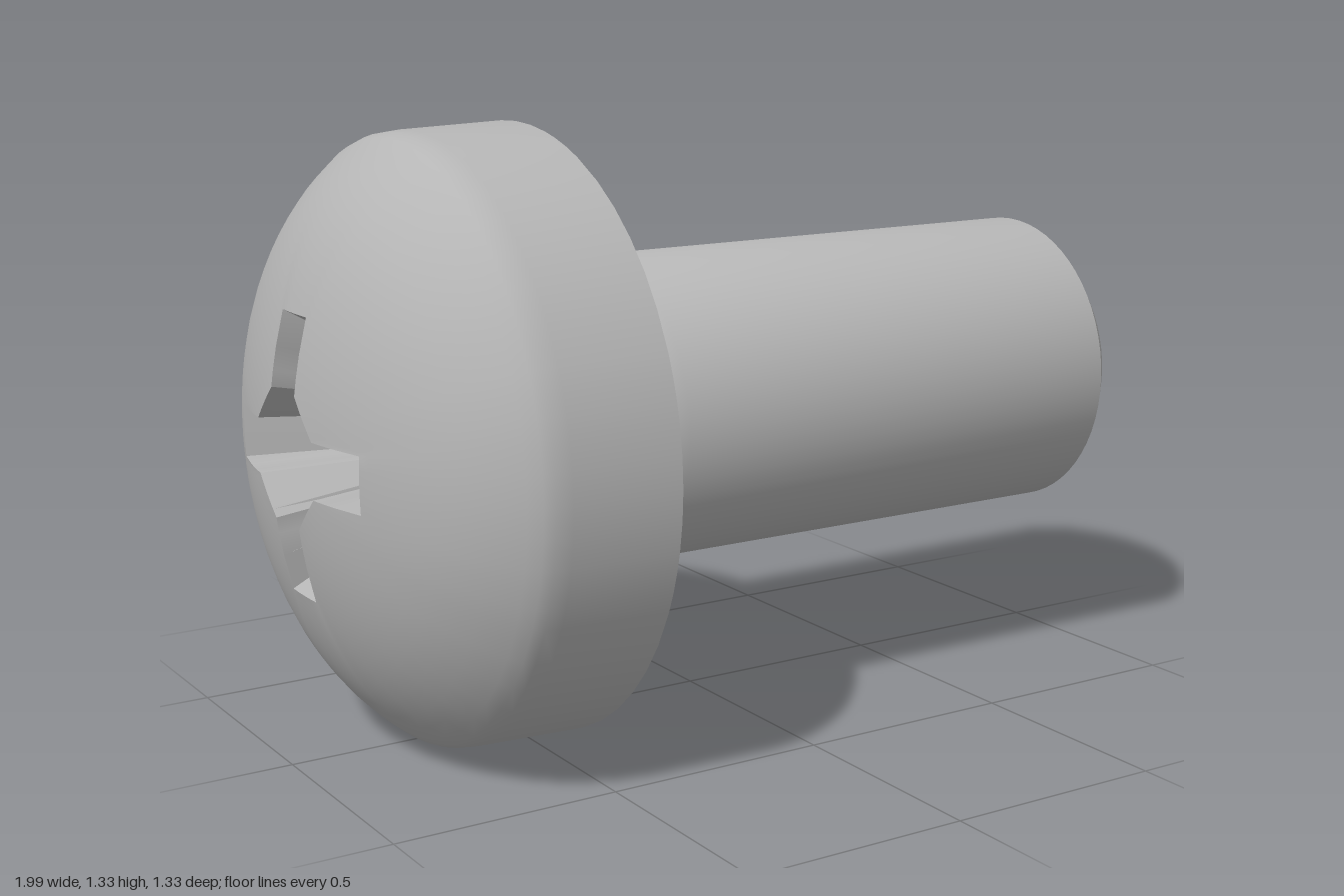
import * as THREE from 'three';
import { toCreasedNormals } from 'three/addons/utils/BufferGeometryUtils.js';

const AXIS_Y = 0.667;
const HEAD_R = 0.667;

// Angles around the axis (degrees, one quadrant repeated), including every corner of the cross
const QUADRANT = [-11.31, -5.65, 0, 5.65, 11.31, 15, 19, 23.2, 31, 38, 45, 52, 59, 66.8, 71, 75];
const ANGLES = [0, 90, 180, 270].flatMap(q => QUADRANT.map(a => THREE.MathUtils.degToRad(a + q)));

// Distance from the axis to the cross outline, for arms of a given length, half width and centre flare
function crossRadius(angle, length, half, flare) {
  const c = Math.abs(Math.cos(angle)), s = Math.abs(Math.sin(angle));
  const along = Math.max(c, s), across = Math.min(c, s);
  const arm = Math.min(length / along, across > 1e-6 ? half / across : Infinity);
  return Math.max(arm, flare / (along + across));
}

const opening = a => crossRadius(a, 0.3, 0.06, 0.2);
const dome = r => -1 + 0.44 * r * r + 1.1 * r ** 6;

// Skin a list of rings; each ring maps an angle to [radius, x]
function loft(rings) {
  const n = ANGLES.length, pos = [], index = [];
  for (const ring of rings) {
    for (const a of ANGLES) {
      const [r, x] = ring(a);
      pos.push(x, r * Math.cos(a), r * Math.sin(a));
    }
  }
  for (let j = 0; j < rings.length - 1; j++) {
    for (let i = 0; i < n; i++) {
      const k = (i + 1) % n;
      const a = j * n + i, b = a + n, c = (j + 1) * n + k, d = j * n + k;
      index.push(a, c, b, a, d, c);
    }
  }
  const g = new THREE.BufferGeometry();
  g.setAttribute('position', new THREE.Float32BufferAttribute(pos, 3));
  g.setIndex(index);
  return toCreasedNormals(g, Math.PI / 7);
}

export function createModel() {
  const model = new THREE.Group();
  model.name = 'screw';
  const steel = new THREE.MeshStandardMaterial({ color: 0xb5b5b5 });
  steel.name = 'steel grey';

  const add = (name, geometry, y = AXIS_Y) => {
    const mesh = new THREE.Mesh(geometry, steel);
    mesh.name = name;
    mesh.position.y = y;
    model.add(mesh);
  };

  // Domed head: from the cross opening out to the rim, then down the side and under
  const headRings = [];
  for (let j = 0; j <= 10; j++) {
    headRings.push(a => {
      const r = THREE.MathUtils.lerp(opening(a), 0.57, j / 10);
      return [r, dome(r)];
    });
  }
  for (const r of [0.6, 0.625, 0.645]) headRings.push(() => [r, dome(r)]);
  for (const p of [[0.655, -0.715], [0.659, -0.68], [HEAD_R, -0.44], [0.3, -0.44]]) headRings.push(() => p);
  add('head', loft(headRings));

  // Tapering cross recess, from its pointed bottom up to the opening
  add('crossRecess', loft([
    () => [0, -0.6],
    a => [crossRadius(a, 0.13, 0.04, 0.12), -0.66],
    a => [opening(a), dome(opening(a))],
  ]));

  // Shank with a fillet under the head, a narrow neck and a chamfered tip
  const profile = [
    [0.385, -0.441], [0.36, -0.425], [0.343, -0.4], [0.325, -0.27], [0.346, -0.22],
    [0.347, 0.94], [0.285, 1], [0, 1],
  ].map(([r, x]) => new THREE.Vector2(r, x));
  const shank = new THREE.LatheGeometry(profile, 64);
  shank.rotateZ(-Math.PI / 2);
  add('shank', toCreasedNormals(shank, Math.PI / 7), 0.682);

  return model;
}
